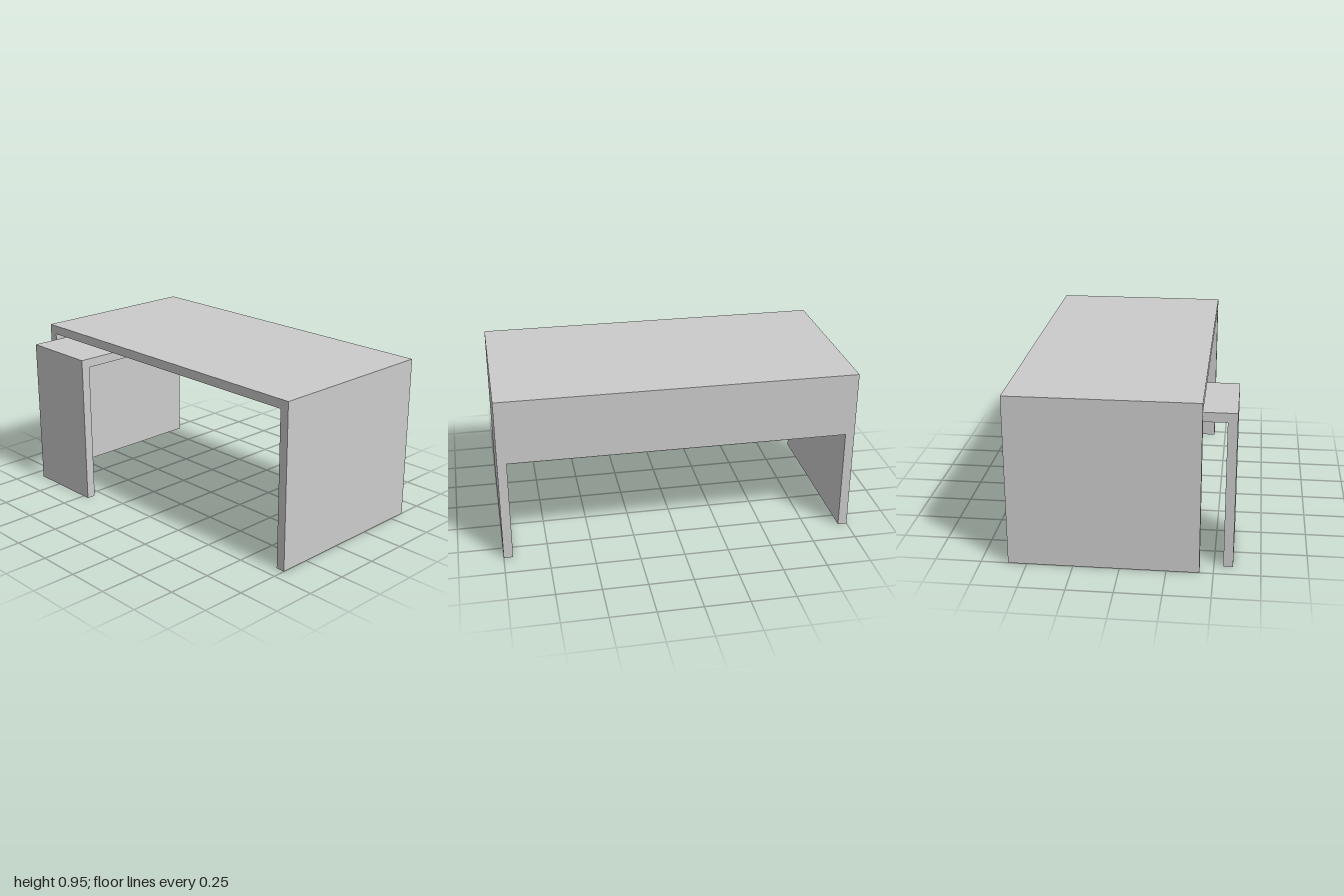
import * as THREE from 'three';

const material = new THREE.MeshStandardMaterial({ color: 0xcccccc });
const T = 0.052; // board thickness

// Extrude a closed outline of [u, v] points, starting at depth 0.
function board(name, points, depth) {
  const shape = new THREE.Shape(points.map(([u, v]) => new THREE.Vector2(u, v)));
  const geometry = new THREE.ExtrudeGeometry(shape, { depth, bevelEnabled: false });
  const mesh = new THREE.Mesh(geometry, material);
  mesh.name = name;
  return mesh;
}

export function createModel() {
  const group = new THREE.Group();
  group.name = 'desk';
  const height = 0.955, back = -0.602, front = 0.426, inner = 1 - T;

  // Desk top and both side panels as one continuous arch
  const frame = board('deskFrame', [
    [-1, 0], [-inner, 0], [-inner, height - T], [inner, height - T],
    [inner, 0], [1, 0], [1, height], [-1, height],
  ], front - back);
  frame.position.z = back;
  group.add(frame);

  // Back panel hung between the sides, under the top
  const low = 0.59, high = height - T;
  const panel = new THREE.Mesh(new THREE.BoxGeometry(2 * inner, high - low, T), material);
  panel.name = 'backPanel';
  panel.position.set(0, (low + high) / 2, back + T / 2);
  group.add(panel);

  // Pull-out return: shelf under the top with a front leg panel (profile in z, y)
  const zFront = 0.602, shelfTop = 0.877, shelfBack = back + T;
  const pullOut = board('pullOutReturn', [
    [zFront, 0], [zFront, shelfTop], [shelfBack, shelfTop],
    [shelfBack, shelfTop - T], [zFront - T, shelfTop - T], [zFront - T, 0],
  ], 0.46);
  pullOut.rotation.y = -Math.PI / 2; // profile u -> +z, extrusion -> -x
  pullOut.position.x = -0.458;
  group.add(pullOut);

  return group;
}
